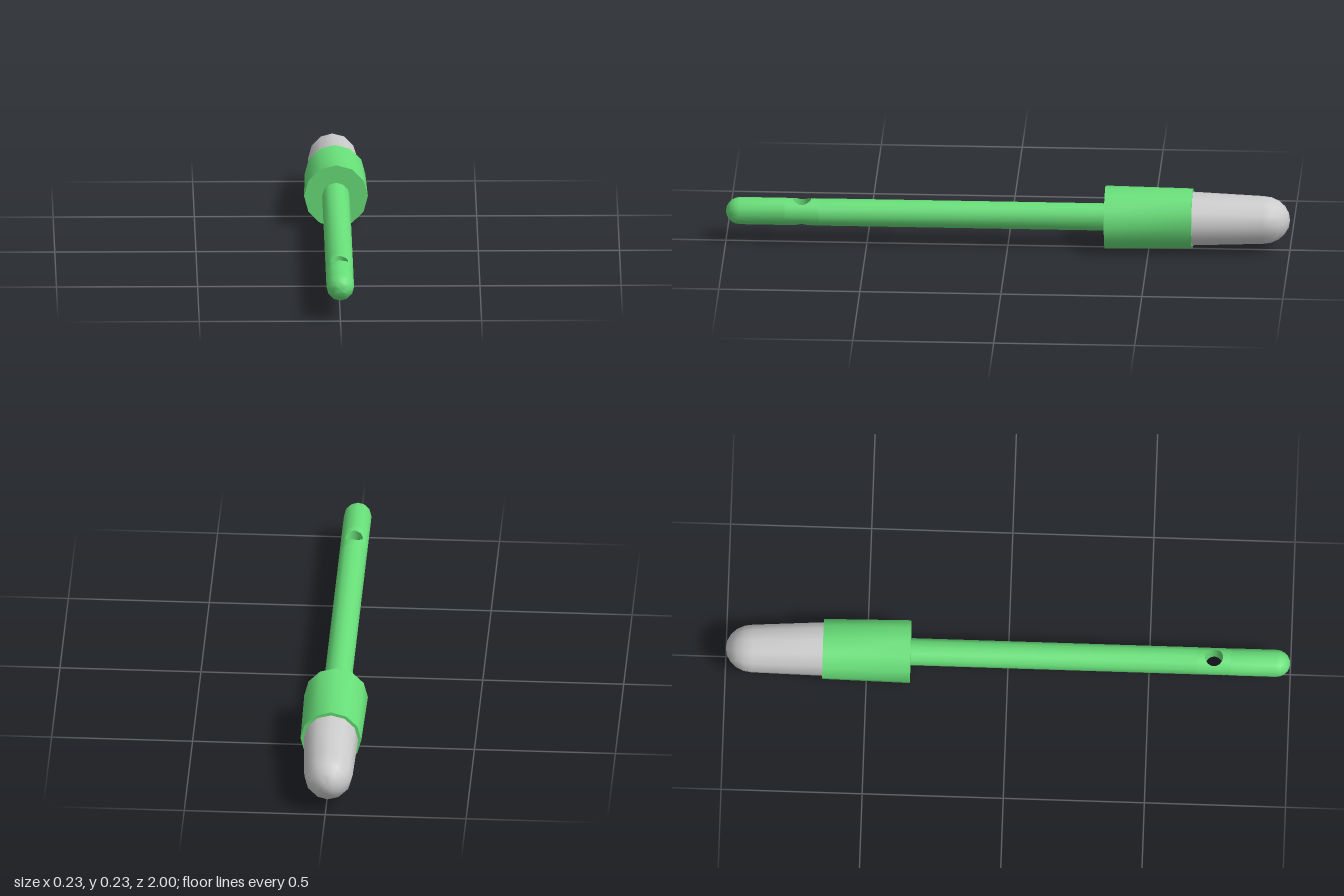
import * as THREE from 'three';
import { toCreasedNormals } from 'three/addons/utils/BufferGeometryUtils.js';

const SIDES = 12;
const AXIS_Y = 0.114;
const ROD_R = 0.049;
const HOLE_R = 0.032, HOLE_Z = 0.73, HOLE_HALF = 0.06;

const green = new THREE.MeshStandardMaterial({ color: 0x68df79 });
const grey = new THREE.MeshStandardMaterial({ color: 0xcccccc });

// Turned part along z; profile is [radius, z] with z ascending
function turned(name, profile, material, bend) {
  const pts = profile.map(([r, z]) => new THREE.Vector2(r, z));
  const geo = new THREE.LatheGeometry(pts, SIDES).rotateX(Math.PI / 2);
  if (bend) {
    const p = geo.attributes.position;
    for (let i = 0; i < p.count; i++) bend(p, i);
  }
  const mesh = new THREE.Mesh(toCreasedNormals(geo, 0.8), material);
  mesh.name = name;
  return mesh;
}

// Grid surface from point(i, j) and normal(i, j)
function grid(name, cols, rows, sample) {
  const pos = [], nor = [], idx = [];
  for (let j = 0; j <= rows; j++) {
    for (let i = 0; i <= cols; i++) {
      const [p, n] = sample(i, j / rows);
      pos.push(...p);
      nor.push(...n);
      if (i < cols && j < rows) {
        const a = j * (cols + 1) + i, b = a + cols + 1;
        idx.push(a, b, a + 1, a + 1, b, b + 1);
      }
    }
  }
  const geo = new THREE.BufferGeometry();
  geo.setAttribute('position', new THREE.Float32BufferAttribute(pos, 3));
  geo.setAttribute('normal', new THREE.Float32BufferAttribute(nor, 3));
  geo.setIndex(idx);
  const mesh = new THREE.Mesh(geo, green);
  mesh.name = name;
  return mesh;
}

// Distance from the rod axis to its faceted surface
function rodRadius(theta) {
  const step = (2 * Math.PI) / SIDES;
  const t = ((theta % step) + step) % step;
  return ROD_R * Math.cos(step / 2) / Math.cos(t - step / 2);
}

// Short rod section pierced by a vertical hole
function piercedSection() {
  const group = new THREE.Group();
  group.name = 'piercedSection';
  const perSide = 12, n = perSide * 4;
  const corners = [[-1, -1], [1, -1], [1, 1], [-1, 1]];
  const rim = (i) => {
    const phi = (i / n) * 2 * Math.PI - 0.75 * Math.PI;
    return [Math.asin(HOLE_R * Math.cos(phi) / ROD_R), HOLE_R * Math.sin(phi), phi];
  };
  const onRod = (theta, z) => {
    const r = rodRadius(theta);
    return [r * Math.sin(theta), r * Math.cos(theta), z + HOLE_Z];
  };
  // Half shell stretched from the square edge to the hole rim
  const half = (name) => grid(name, n, 6, (i, t) => {
    const side = Math.floor(i / perSide) % 4, f = (i % perSide) / perSide;
    const a = corners[side], b = corners[(side + 1) % 4];
    const [rimTheta, rimZ] = rim(i);
    const theta = THREE.MathUtils.lerp((a[0] + (b[0] - a[0]) * f) * Math.PI / 2, rimTheta, 1 - t);
    const z = THREE.MathUtils.lerp((a[1] + (b[1] - a[1]) * f) * HOLE_HALF, rimZ, 1 - t);
    return [onRod(theta, z), [Math.sin(theta), Math.cos(theta), 0]];
  });
  const upper = half('upperShell'), lower = half('lowerShell');
  lower.rotation.z = Math.PI;
  // Inside wall of the hole
  const wall = grid('holeWall', n, 1, (i, t) => {
    const [theta, z, phi] = rim(i);
    const [x, y, zz] = onRod(theta, z);
    return [[x, y * (2 * t - 1), zz], [-Math.cos(phi), 0, -Math.sin(phi)]];
  });
  wall.material = green.clone();
  wall.material.side = THREE.DoubleSide;
  upper.material = lower.material = green;
  fixWinding(upper.geometry);
  fixWinding(lower.geometry);
  fixWinding(wall.geometry);
  group.add(upper, lower, wall);
  return group;
}

// Turn every triangle to agree with its vertex normals
function fixWinding(geo) {
  const p = geo.attributes.position, m = geo.attributes.normal, ix = geo.index;
  const v = (attr, k) => new THREE.Vector3().fromBufferAttribute(attr, ix.getX(k));
  for (let k = 0; k < ix.count; k += 3) {
    const a = v(p, k);
    const face = v(p, k + 1).sub(a).cross(v(p, k + 2).sub(a));
    const want = v(m, k).add(v(m, k + 1)).add(v(m, k + 2));
    if (face.dot(want) < 0) {
      const s = ix.getX(k + 1);
      ix.setX(k + 1, ix.getX(k + 2));
      ix.setX(k + 2, s);
    }
  }
}

// Quarter-ellipse profile points, from full radius to the pole
function dome(radius, z, length, steps) {
  return Array.from({ length: steps + 1 }, (_, i) => {
    const a = (i / steps) * Math.PI / 2;
    return [i === steps ? 0 : radius * Math.cos(a), z + length * Math.sin(a)];
  });
}

export function createModel() {
  const model = new THREE.Group();
  model.name = 'peg';
  const body = new THREE.Group();
  body.name = 'body';
  body.position.y = AXIS_Y;
  model.add(body);

  // Rod in two lengths either side of the pierced section
  body.add(turned('rod', [[ROD_R, -0.36], [ROD_R, HOLE_Z - HOLE_HALF]], green));
  body.add(piercedSection());
  body.add(turned('rodEnd', [[ROD_R, HOLE_Z + HOLE_HALF], ...dome(ROD_R, 0.95, 0.05, 5)], green));

  // Slightly tapered collar
  body.add(turned('collar', [[0, -0.655], [0.108, -0.655], [0.113, -0.345], [0, -0.345]], green));

  // Rounded tip, leaning a little off the axis
  const tipProfile = [...dome(0.086, -0.905, -0.095, 5).reverse(), [0.097, -0.64]];
  body.add(turned('tip', tipProfile, grey, (p, i) => {
    const k = Math.min(1, (-0.64 - p.getZ(i)) / 0.26);
    p.setX(i, p.getX(i) - 0.006 * k);
    p.setY(i, p.getY(i) - 0.003 * k);
  }));

  return model;
}
